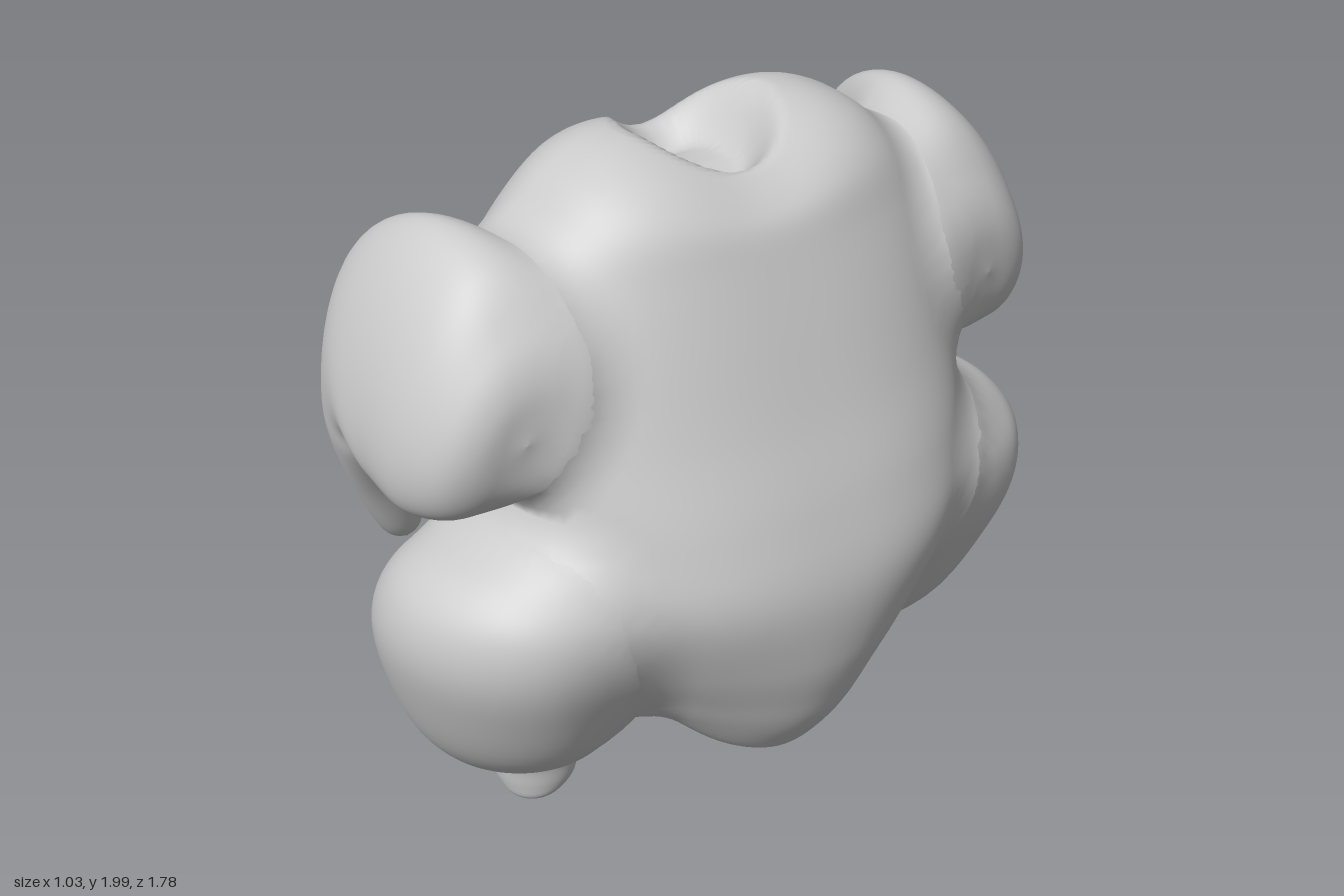
import * as THREE from 'three';

const SIDES = 96;

// Skin smooth rings along stations [x, y, z, halfWidth, halfDepth, tilt].
// "square" below 1 fills out the oval; "lean" shears each ring in z.
function loft(stations, rows, { square = 1, lean = 0 } = {}) {
  const spline = (o) => new THREE.CatmullRomCurve3(
    stations.map((s) => new THREE.Vector3(s[o], s[o + 1], s[o + 2])), false, 'catmullrom', 0.5);
  const centres = spline(0), shapes = spline(3);
  const round = (v) => Math.sign(v) * Math.abs(v) ** square;
  const pos = [], index = [];
  for (let i = 0; i <= rows; i++) {
    const c = centres.getPoint(i / rows), s = shapes.getPoint(i / rows);
    const a = Math.max(s.x, 0.0002), b = Math.max(s.y, 0.0002);
    for (let j = 0; j < SIDES; j++) {
      const t = (j / SIDES) * Math.PI * 2;
      const u = a * round(Math.cos(t)), v = b * round(Math.sin(t));
      pos.push(c.x + u * Math.cos(s.z), c.y + u * Math.sin(s.z), c.z + v + u * lean);
      if (i === rows) continue;
      const p = i * SIDES + j, q = i * SIDES + ((j + 1) % SIDES);
      index.push(p, p + SIDES, q, q, p + SIDES, q + SIDES);
    }
  }
  const g = new THREE.BufferGeometry();
  g.setAttribute('position', new THREE.Float32BufferAttribute(pos, 3));
  g.setIndex(index);
  g.computeVertexNormals();
  return g;
}

// Stations for level rings given as [y, xMin, xMax, zMin, zMax]
const level = (rows) => rows.map(([y, x0, x1, z0, z1]) =>
  [(x0 + x1) / 2, y, (z0 + z1) / 2, (x1 - x0) / 2, (z1 - z0) / 2, 0]);

// Swell a skin where it meets another and blend the normals, so the joint is
// rounded. Each joint is { skin, k }, k being the reach of the rounding.
function fillet(g, joints) {
  const p = g.attributes.position.array, n = g.attributes.normal.array;
  for (let i = 0; i < p.length; i += 3) {
    let swell = 0, mix = 0, other = null;
    for (const { skin, k } of joints) {
      const q = skin.points;
      let near = k * k, at = -1;
      for (let j = 0; j < q.length; j += 3) {
        const dx = p[i] - q[j], dy = p[i + 1] - q[j + 1], dz = Math.abs(p[i + 2]) - q[j + 2];
        const d = dx * dx + dy * dy + dz * dz;
        if (d < near) [near, at] = [d, j];
      }
      const gap = k - Math.sqrt(near);
      if (at < 0 || gap * gap / (2 * k) < swell) continue;
      swell = gap * gap / (2 * k);
      mix = 0.5 * Math.min(1, gap / k / 0.73);
      other = new THREE.Vector3().fromArray(skin.normals, at);
    }
    if (!other) continue;
    if (p[i + 2] < 0) other.z *= -1;
    const normal = new THREE.Vector3().fromArray(n, i);
    for (let c = 0; c < 3; c++) p[i + c] += n[i + c] * swell;
    normal.lerp(other, mix).normalize().toArray(n, i);
  }
}

function mirrored(g) {
  const m = g.clone();
  for (const { array } of [m.attributes.position, m.attributes.normal]) {
    for (let i = 2; i < array.length; i += 3) array[i] *= -1;
  }
  const ix = m.index.array;
  for (let i = 0; i < ix.length; i += 3) [ix[i], ix[i + 1]] = [ix[i + 1], ix[i]];
  return m;
}

function makeBody() {
  const g = loft(level([
    [0.375, 0.25, 0.25, 0, 0], [0.41, 0.14, 0.3, -0.08, 0.08], [0.45, 0, 0.34, -0.18, 0.18],
    [0.55, -0.2, 0.41, -0.29, 0.29], [0.65, -0.35, 0.455, -0.39, 0.39], [0.8, -0.42, 0.5, -0.49, 0.49],
    [1, -0.48, 0.515, -0.57, 0.57], [1.2, -0.525, 0.465, -0.61, 0.61], [1.4, -0.53, 0.39, -0.62, 0.62],
    [1.6, -0.475, 0.32, -0.6, 0.6], [1.75, -0.42, 0.265, -0.55, 0.55], [1.87, -0.36, 0.22, -0.46, 0.46],
    [1.95, -0.28, 0.14, -0.36, 0.36], [2, -0.18, 0.02, -0.22, 0.22], [2.015, -0.08, -0.08, 0, 0],
  ]), 110, { square: 0.8 });
  const p = g.attributes.position;
  const smooth = THREE.MathUtils.smoothstep;
  for (let i = 0; i < p.count; i++) {
    let x = p.getX(i), y = p.getY(i), z = p.getZ(i);
    const middle = Math.exp(-((z / 0.15) ** 2));
    // Rounder shoulders behind the neck
    z *= 1 - 0.18 * smooth(y, 1.5, 1.9) * smooth(-x, 0.1, 0.4);
    // Keel: the lower breast falls back on both sides of the middle
    x -= 0.35 * (Math.hypot(z, 0.08) - 0.08) * (1 - smooth(y, 0.55, 1.1)) * smooth(x, 0, 0.4);
    // Shallow groove along the spine
    x += 0.035 * middle * smooth(-x, 0.1, 0.35) * smooth(y, 0.6, 0.9);
    // Neck saddle and hollow
    const neck = Math.hypot((x + 0.08) / 0.2, z / 0.18);
    const saddle = 0.05 * Math.exp(-((z / 0.19) ** 2));
    y -= smooth(y, 1.75, 1.95) * (saddle + 0.12 * (1 - smooth(neck, 0.5, 1.08)));
    // Tail hollow behind the breast tip
    const tail = Math.hypot((x - 0.06) / 0.2, z / 0.2);
    y += (1 - smooth(y, 0.5, 0.65)) * 0.06 * (1 - smooth(tail, 0.2, 1));
    p.setXYZ(i, x, y, z);
  }
  g.computeVertexNormals();
  return g;
}

// Drumstick, from the knuckle up to the thigh
const makeLeg = () => loft(level([
  [0, -0.33, -0.33, 0.37, 0.37], [0.02, -0.39, -0.27, 0.31, 0.43], [0.07, -0.44, -0.245, 0.25, 0.455],
  [0.15, -0.472, -0.23, 0.245, 0.475], [0.22, -0.43, -0.2, 0.27, 0.51], [0.3, -0.365, -0.13, 0.315, 0.58],
  [0.4, -0.35, 0.03, 0.33, 0.69], [0.55, -0.355, 0.18, 0.34, 0.79], [0.75, -0.345, 0.28, 0.36, 0.86],
  [0.9, -0.31, 0.33, 0.38, 0.885], [1.02, -0.245, 0.33, 0.4, 0.86], [1.1, -0.16, 0.28, 0.44, 0.79],
  [1.14, -0.03, 0.2, 0.52, 0.7], [1.15, 0.08, 0.08, 0.61, 0.61],
]), 64, { lean: -0.14 });

// Folded wing, from the tip up and over to the shoulder
const makeWing = () => loft([
  [-0.44, 0.88, 0.62, 0, 0, 0], [-0.44, 0.93, 0.63, 0.042, 0.055, 0],
  [-0.415, 1.1, 0.68, 0.07, 0.085, -0.1], [-0.38, 1.27, 0.735, 0.105, 0.09, -0.2],
  [-0.355, 1.39, 0.75, 0.135, 0.095, -0.45], [-0.27, 1.53, 0.755, 0.24, 0.105, -1],
  [-0.13, 1.585, 0.735, 0.29, 0.125, -1.42], [0.03, 1.56, 0.71, 0.29, 0.15, -1.62],
  [0.14, 1.51, 0.675, 0.22, 0.155, -1.68], [0.195, 1.495, 0.655, 0.13, 0.11, -1.7],
  [0.212, 1.49, 0.655, 0, 0, -1.7],
], 70, { lean: 0.32 });

export function createModel() {
  const model = new THREE.Group();
  model.name = 'roastBird';
  const material = new THREE.MeshStandardMaterial({ color: 0xcccccc });
  const add = (name, geometry) => {
    const mesh = new THREE.Mesh(geometry, material);
    mesh.name = name;
    model.add(mesh);
  };

  const parts = [makeBody(), makeLeg(), makeWing()];
  const [body, leg, wing] = parts;
  const [bodySkin, legSkin, wingSkin] = parts.map((g) => ({
    points: g.attributes.position.array.slice(),
    normals: g.attributes.normal.array.slice(),
  }));
  fillet(body, [{ skin: legSkin, k: 0.17 }, { skin: wingSkin, k: 0.15 }]);
  fillet(leg, [{ skin: bodySkin, k: 0.17 }]);
  fillet(wing, [{ skin: bodySkin, k: 0.15 }]);

  add('body', body);
  add('leftLeg', leg);
  add('rightLeg', mirrored(leg));
  add('leftWing', wing);
  add('rightWing', mirrored(wing));
  return model;
}
